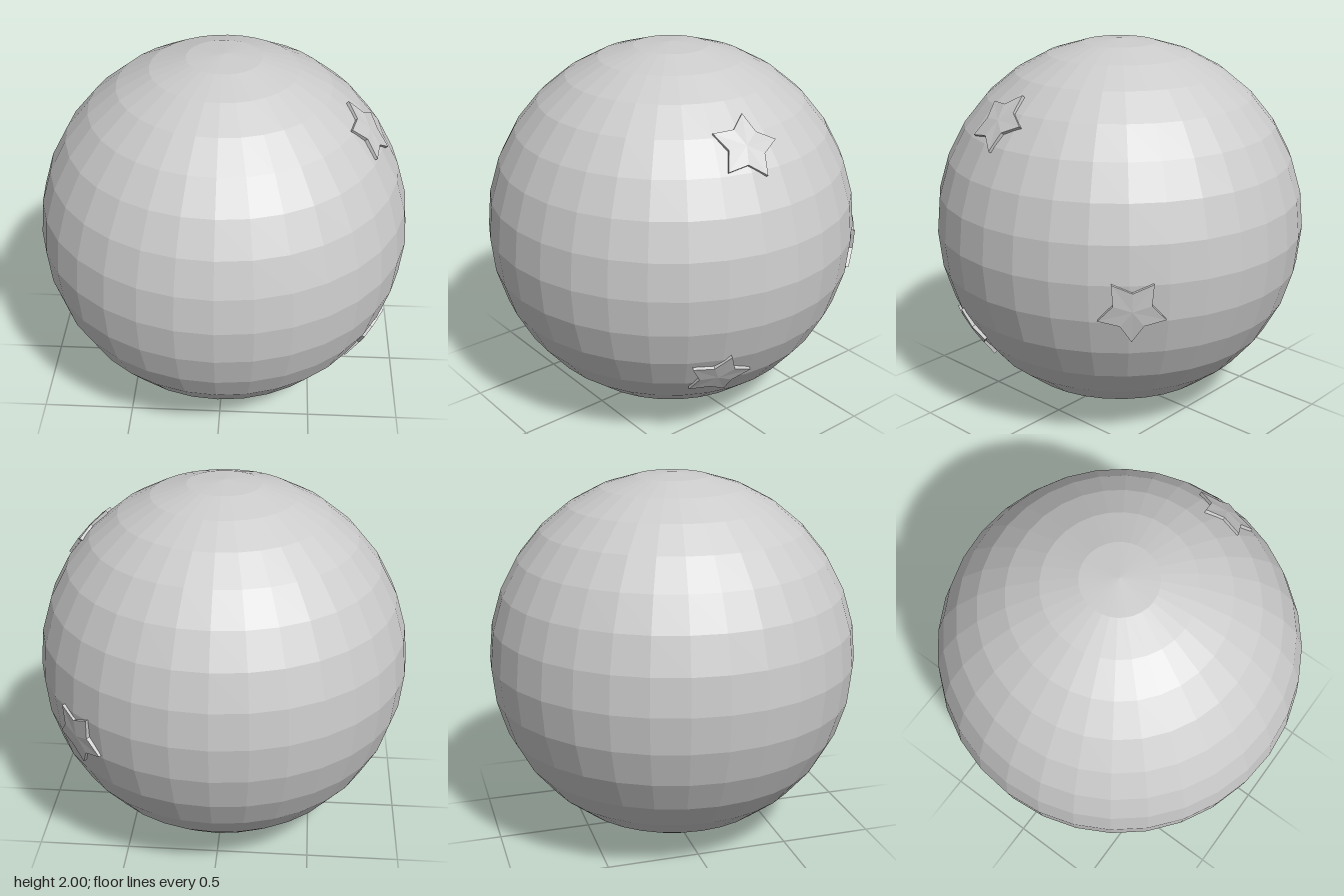
import * as THREE from 'three';

const material = new THREE.MeshStandardMaterial({ color: 0xcccccc, flatShading: true });

// Point on the +x half of a sphere of radius 1 around the ball's centre
const onBall = (y, z) => new THREE.Vector3(Math.sqrt(1 - y * y - z * z), y, z);

// Raised five-pointed star hugging the ball: a shallow fan on top and a wall sunk into the ball
function starGeometry(centre, tip) {
  const outer = 0.175, inner = 0.098, top = 1.012, base = 0.96;
  const n = centre.clone().normalize();
  const u = tip.clone().addScaledVector(n, -tip.dot(n)).normalize();
  const v = new THREE.Vector3().crossVectors(n, u);
  const rim = [];
  for (let i = 0; i < 10; i++) {
    const a = (i * Math.PI) / 5, r = i % 2 ? inner : outer;
    rim.push(n.clone()
      .addScaledVector(u, r * Math.cos(a))
      .addScaledVector(v, r * Math.sin(a))
      .normalize());
  }
  const points = [];
  const peak = n.clone().multiplyScalar(top);
  rim.forEach((p, i) => {
    const q = rim[(i + 1) % 10];
    const [pt, qt] = [p, q].map((d) => d.clone().multiplyScalar(top));
    const [pb, qb] = [p, q].map((d) => d.clone().multiplyScalar(base));
    points.push(peak, pt, qt, pb, qb, qt, pb, qt, pt);
  });
  const geometry = new THREE.BufferGeometry().setFromPoints(points);
  geometry.computeVertexNormals();
  return geometry;
}

export function createModel() {
  const group = new THREE.Group();
  group.name = 'starBall';

  // Faceted ball
  const ball = new THREE.Mesh(new THREE.SphereGeometry(1, 32, 16), material);
  ball.name = 'ball';
  ball.position.y = 1;
  group.add(ball);

  // Three stars on the left side: [y, z] of the centre and of one tip, from the ball's centre
  const stars = {
    upperStar: [[0.66, 0.135], [0.657, -0.043]],
    rearStar: [[-0.13, -0.711], [-0.314, -0.68]],
    lowerStar: [[-0.509, 0.332], [-0.41, 0.493]],
  };
  for (const [name, [centre, tip]] of Object.entries(stars)) {
    const star = new THREE.Mesh(starGeometry(onBall(...centre), onBall(...tip)), material);
    star.name = name;
    star.position.y = 1;
    group.add(star);
  }
  return group;
}
